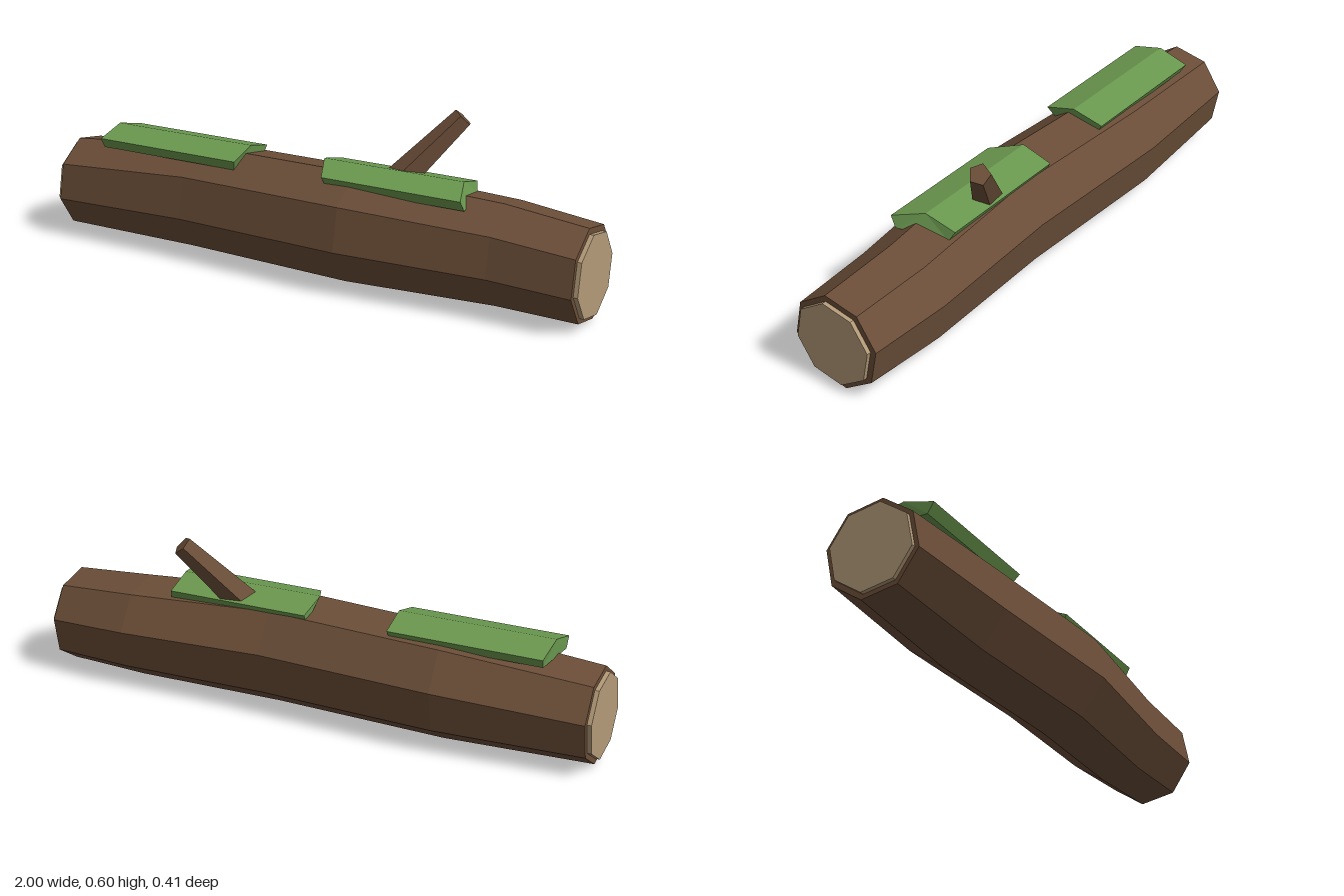
import * as THREE from 'three';

const material = (color) => new THREE.MeshStandardMaterial({ color, flatShading: true });

// Closed skin through rings of points; rings advance along +x, each running from up towards +z
function loft(rings) {
  const n = rings[0].length;
  const positions = [];
  const tri = (...pts) => pts.forEach((p) => positions.push(p.x, p.y, p.z));
  for (let i = 0; i < rings.length - 1; i++) {
    for (let j = 0; j < n; j++) {
      const k = (j + 1) % n;
      const [a, b] = [rings[i], rings[i + 1]];
      tri(a[j], a[k], b[j]);
      tri(a[k], b[k], b[j]);
    }
  }
  const first = rings[0], last = rings[rings.length - 1];
  for (let j = 1; j < n - 1; j++) {
    tri(first[0], first[j + 1], first[j]);
    tri(last[0], last[j], last[j + 1]);
  }
  const geometry = new THREE.BufferGeometry();
  geometry.setAttribute('position', new THREE.Float32BufferAttribute(positions, 3));
  geometry.computeVertexNormals();
  return geometry;
}

// Slightly turned octagon around the trunk axis
function octagon(x, y, z, r) {
  return Array.from({ length: 8 }, (_, i) => {
    const a = Math.PI / 16 + (i * Math.PI) / 4;
    return new THREE.Vector3(x, y + r * Math.cos(a), z + r * Math.sin(a));
  });
}

// Moss cross-section as [y, z]: ridge, front edge, front base, back base, back edge
const MOSS = [[0.408, 0], [0.378, 0.112], [0.341, 0.09], [0.344, -0.095], [0.378, -0.115]];
const mossRing = (xs) => MOSS.map(([y, z], i) => new THREE.Vector3(xs[i], y, z));

export function createModel() {
  const group = new THREE.Group();
  const bark = material(0x6b4e38);
  const wood = material(0xb39a78);
  const green = material(0x6a984f);

  const add = (name, geometry, mat) => {
    const mesh = new THREE.Mesh(geometry, mat);
    mesh.name = name;
    group.add(mesh);
    return mesh;
  };

  // Trunk: x, centre y, centre z, radius
  const sections = [
    [-0.985, 0.173, -0.003, 0.165],
    [-0.47, 0.193, -0.021, 0.192],
    [0.16, 0.197, 0.009, 0.199],
    [0.69, 0.186, -0.018, 0.181],
    [0.985, 0.173, -0.002, 0.167],
  ];
  add('trunk', loft(sections.map((s) => octagon(...s))), bark);

  // Cut wood at both ends
  for (const [name, x0, x1] of [['leftCut', 0.97, 1], ['rightCut', -1, -0.97]]) {
    add(name, loft([octagon(x0, 0.172, 0, 0.147), octagon(x1, 0.172, 0, 0.147)]), wood);
  }

  // Moss patches along the top, with skewed ends
  add('rightMoss', loft([
    mossRing([-0.825, -0.83, -0.83, -0.815, -0.82]),
    mossRing([-0.275, -0.275, -0.29, -0.285, -0.28]),
  ]), green);
  add('leftMoss', loft([
    mossRing([0.015, 0.065, 0.07, 0.02, 0.02]),
    mossRing([0.535, 0.575, 0.58, 0.54, 0.53]),
  ]), green);

  // Broken branch leaning up, back and to the left
  const base = new THREE.Vector3(0.23, 0.3, -0.016);
  const tip = new THREE.Vector3(0.455, 0.573, -0.157);
  const along = tip.clone().sub(base);
  const branch = add('branch', new THREE.CylinderGeometry(0.037, 0.06, along.length(), 5), bark);
  branch.position.copy(base).add(tip).multiplyScalar(0.5);
  branch.quaternion.setFromUnitVectors(new THREE.Vector3(0, 1, 0), along.normalize());

  return group;
}
